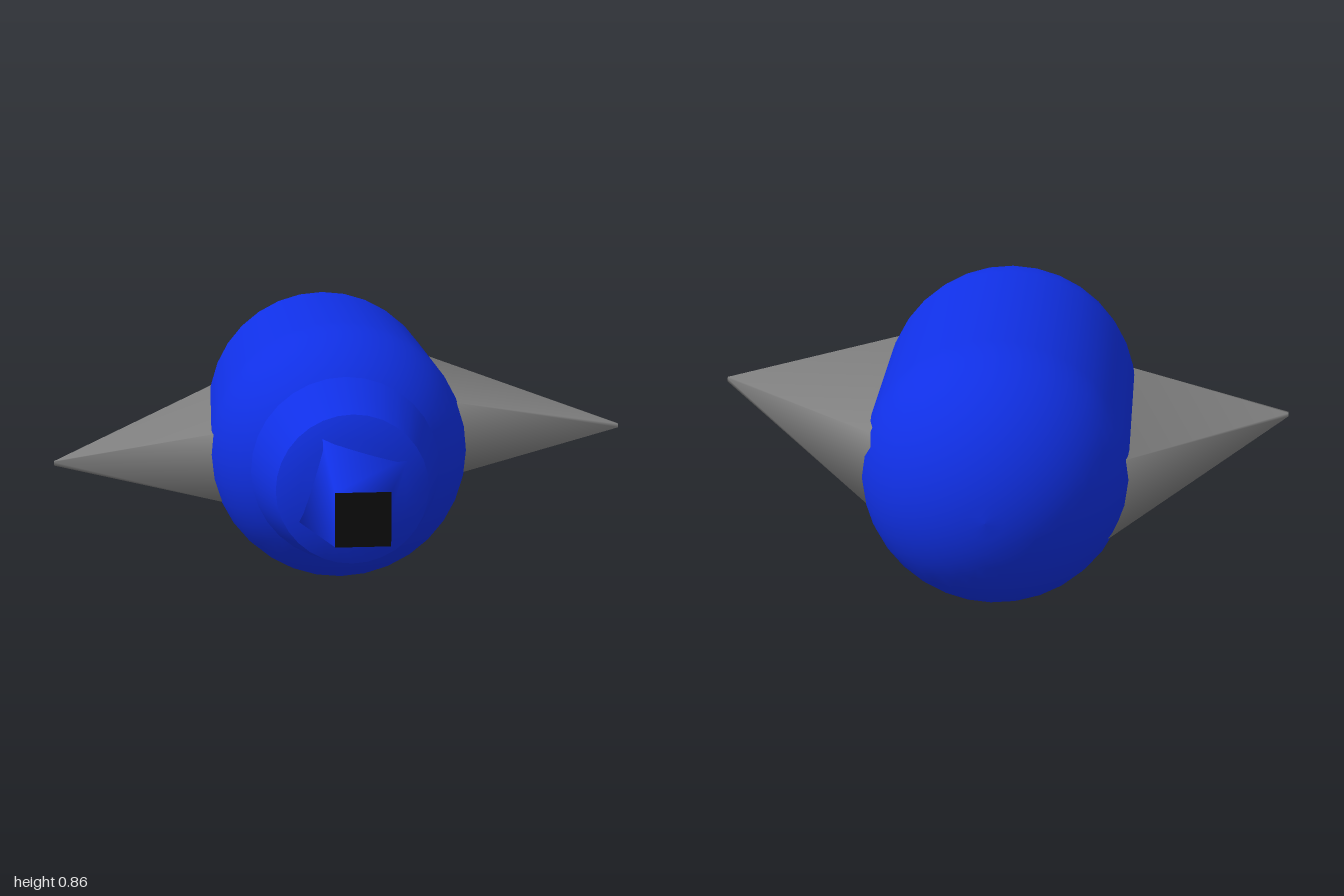
import * as THREE from 'three';

const blue = new THREE.MeshStandardMaterial({ color: 0x1030e6 });
blue.name = 'blue';
const grey = new THREE.MeshStandardMaterial({ color: 0x808080 });
grey.name = 'grey';
const black = new THREE.MeshStandardMaterial({ color: 0x0e0e0e });
black.name = 'black';

const CX = -0.01, CY = 0.432;

function part(name, geometry, material) {
  const mesh = new THREE.Mesh(geometry, material);
  mesh.name = name;
  return mesh;
}

// Revolve [radius, z] points, listed from back to front, around the z axis
function revolve(points) {
  const profile = points.map(([r, z]) => new THREE.Vector2(r, z));
  return new THREE.LatheGeometry(profile, 32).rotateX(Math.PI / 2);
}

// Smooth skin between two rings; rings run counterclockwise seen from the end
function loft(start, end) {
  const n = start.length;
  const index = [];
  for (let i = 0; i < n; i++) {
    const j = (i + 1) % n;
    index.push(i, j, n + j, i, n + j, n + i);
  }
  for (let i = 1; i < n - 1; i++) index.push(n, n + i, n + i + 1);
  const geometry = new THREE.BufferGeometry();
  geometry.setAttribute('position', new THREE.Float32BufferAttribute([...start, ...end].flat(), 3));
  geometry.setIndex(index);
  geometry.computeVertexNormals();
  return geometry;
}

// Square ring facing +z, turned by an angle
function squareRing(radius, degrees, z) {
  return [0, 1, 2, 3].map((i) => {
    const a = THREE.MathUtils.degToRad(degrees + 90 * i);
    return [radius * Math.cos(a), radius * Math.sin(a), z];
  });
}

// Rectangular ring facing +x
function sideRing(x, y0, y1, zBack, zFront) {
  return [[x, y0, zFront], [x, y0, zBack], [x, y1, zBack], [x, y1, zFront]];
}

function makeWing(name, tipZ) {
  const base = sideRing(0.37, -0.084, 0.168, -0.735, 0.17);
  const tip = sideRing(0.97, 0.038, 0.05, tipZ - 0.007, tipZ + 0.007);
  return part(name, loft(base, tip), grey);
}

export function createModel() {
  const model = new THREE.Group();
  const ship = new THREE.Group();
  ship.name = 'ship';
  ship.position.set(CX, CY, 0);
  model.add(ship);

  // Long body with a domed back and front
  const hull = [];
  for (let i = 0; i <= 12; i++) {
    const a = (i / 12) * Math.PI / 2;
    hull.push([0.422 * Math.sin(a), -0.578 - 0.422 * Math.cos(a)]);
  }
  for (let i = 0; i <= 12; i++) {
    const a = (i / 12) * Math.PI / 2;
    hull.push([0.43 * Math.cos(a), 0.09 + 0.43 * Math.sin(a)]);
  }
  ship.add(part('body', revolve(hull), blue));

  // Tapered neck and its rounded front
  ship.add(part('neck', revolve([[0.315, 0.35], [0.237, 0.65]]), blue));
  ship.add(part('neckFront', revolve([[0.237, 0.65], [0.165, 0.685], [0, 0.71]]), blue));

  // Twisted square snout with a dark opening
  ship.add(part('snout', loft(squareRing(0.204, 28, 0.62), squareRing(0.116, 45, 0.997)), blue));
  const opening = new THREE.PlaneGeometry(0.164, 0.164);
  opening.translate(0, 0, 1);
  ship.add(part('snoutOpening', opening, black));

  // Wings, the second turned half way round the body
  ship.add(makeWing('leftWing', 0.015));
  const rightWing = makeWing('rightWing', 0.05);
  rightWing.rotation.z = Math.PI;
  rightWing.position.x = 0.02;
  ship.add(rightWing);

  return model;
}
